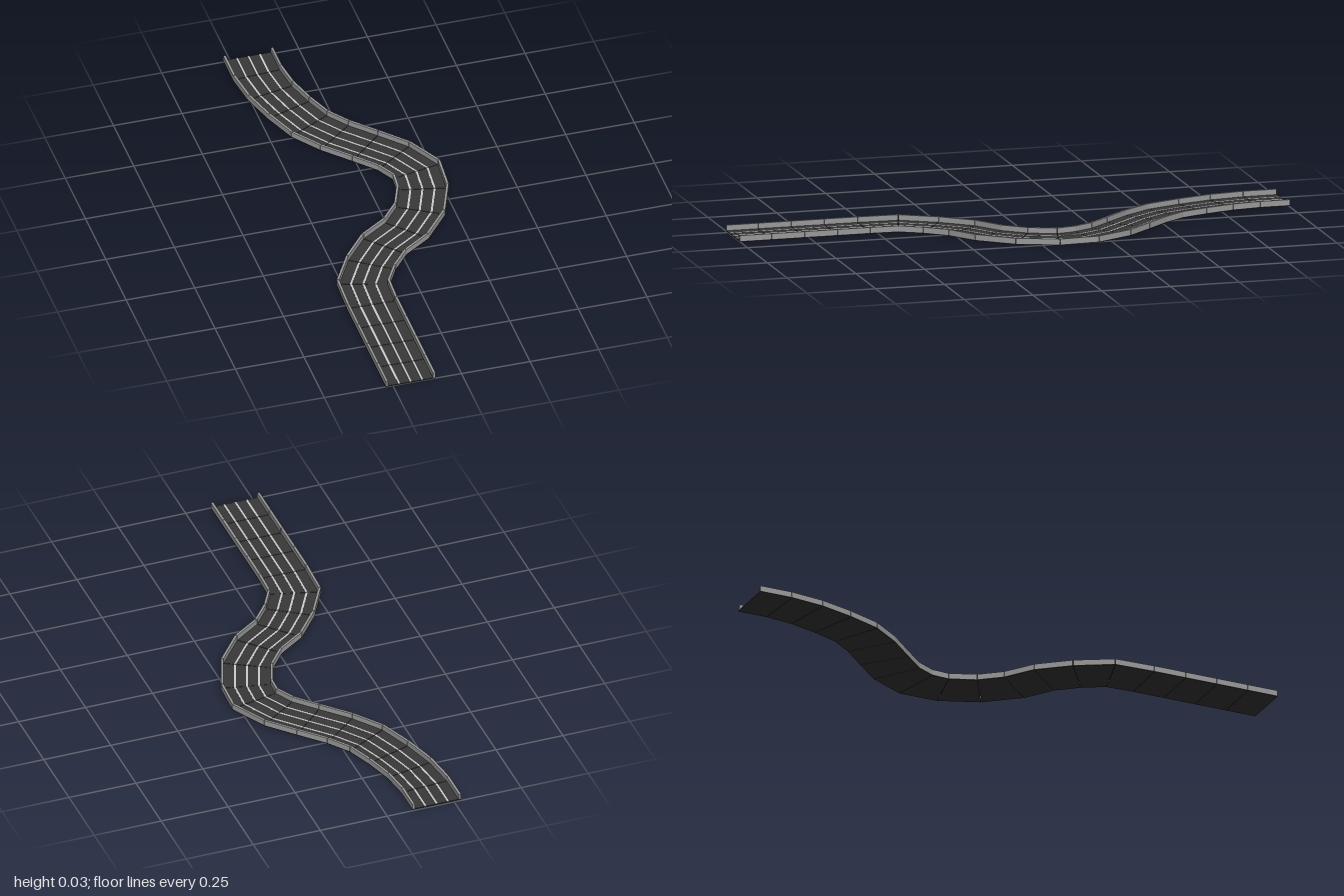
import * as THREE from 'three';

// Centre line of the road: [x, z] at every seam, back to front
const SEAMS = [
  [-0.185, -1], [-0.185, -0.885], [-0.17, -0.77], [-0.137, -0.655], [-0.095, -0.545],
  [-0.03, -0.455], [0.055, -0.365], [0.133, -0.28], [0.185, -0.18], [0.178, -0.08],
  [0.132, 0.04], [0.053, 0.137], [-0.047, 0.205], [-0.122, 0.297], [-0.18, 0.4],
  [-0.185, 0.525], [-0.185, 0.645], [-0.185, 0.765], [-0.185, 0.885], [-0.185, 1],
].map(([x, z]) => new THREE.Vector2(x, z));
const LAST = SEAMS.length - 1;
const HALF = 0.091;   // half the road width
const WALL = 0.009;   // wall thickness
const DECK = 0.003;   // deck thickness
const TOP = 0.0225;   // wall top
const GAP = 0.008;    // share of a segment left open at each seam

// Mitred sideways vector at a seam, pointing to +x
function sideAt(i) {
  const dir = (a, b) => SEAMS[b].clone().sub(SEAMS[a]).normalize();
  const before = dir(Math.max(i - 1, 0), Math.max(i, 1));
  const after = dir(Math.min(i, LAST - 1), Math.min(i + 1, LAST));
  const mid = before.clone().add(after).normalize();
  return new THREE.Vector2(mid.y, -mid.x).divideScalar(mid.dot(after));
}
const SIDES = SEAMS.map((_, i) => sideAt(i));
// The back half lies a little higher
const riseAt = (i) => (i <= 8 ? 0.0045 : 0);

// Box bent to fit between seams i and i + 1, from offset a to b and height y0 to y1
function block(i, a, b, y0, y1) {
  const geo = new THREE.BoxGeometry(1, 1, 1);
  const pos = geo.attributes.position;
  for (let v = 0; v < pos.count; v++) {
    const offset = pos.getX(v) < 0 ? a : b;
    const height = pos.getY(v) < 0 ? y0 : y1;
    const front = pos.getZ(v) > 0;
    let t = front ? 1 : 0;
    if (front && i + 1 < LAST) t -= GAP;
    if (!front && i > 0) t += GAP;
    const p = SEAMS[i].clone().lerp(SEAMS[i + 1], t);
    const s = SIDES[i].clone().lerp(SIDES[i + 1], t);
    const rise = THREE.MathUtils.lerp(riseAt(i), riseAt(i + 1), t);
    pos.setXYZ(v, p.x + s.x * offset, height + rise, p.y + s.y * offset);
  }
  geo.computeVertexNormals();
  return geo;
}

export function createModel() {
  const road = new THREE.Group();
  road.name = 'road';
  const asphalt = new THREE.MeshStandardMaterial({ color: 0x383838 });
  const concrete = new THREE.MeshStandardMaterial({ color: 0x999999 });
  const paint = new THREE.MeshStandardMaterial({ color: 0xe6e6e6 });

  for (let i = 0; i < LAST; i++) {
    const segment = new THREE.Group();
    segment.name = `segment${i + 1}`;
    const add = (name, material, ...size) => {
      const mesh = new THREE.Mesh(block(i, ...size), material);
      mesh.name = name;
      segment.add(mesh);
    };
    // Flat deck with a low wall along each edge
    add('deck', asphalt, -HALF, HALF, 0, DECK);
    add('rightWall', concrete, -HALF, -HALF + WALL, DECK, TOP);
    add('leftWall', concrete, HALF - WALL, HALF, DECK, TOP);
    // Three painted lines part the four lanes
    for (const c of [-0.042, 0, 0.042]) {
      add('laneLine', paint, c - 0.0035, c + 0.0035, DECK, DECK + 0.001);
    }
    road.add(segment);
  }
  return road;
}
